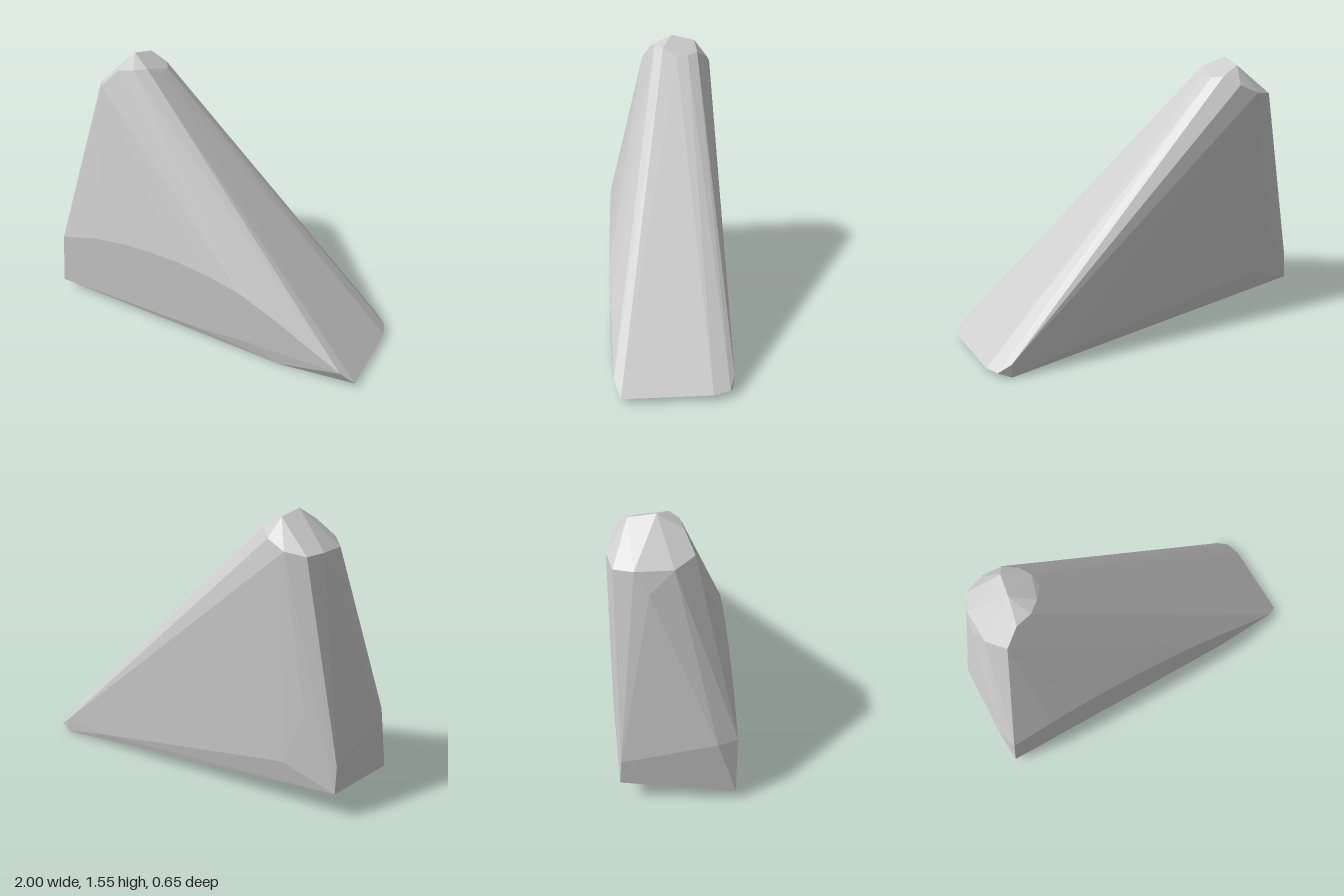
import * as THREE from 'three';
import { ConvexGeometry } from 'three/addons/geometries/ConvexGeometry.js';

const points = (list) => list.map((p) => new THREE.Vector3(...p));

export function createModel() {
  const group = new THREE.Group();
  group.name = 'wedgeRock';
  const stone = new THREE.MeshStandardMaterial({ color: 0xcccccc });
  stone.name = 'pale stone grey';
  stone.flatShading = true;

  // Rounded cap: apex and the faceted ring around it
  const cap = points([
    [-0.62, 1.55, -0.08], [-0.65, 1.48, 0.05], [-0.74, 1.39, 0.1], [-0.82, 1.36, 0.0],
    [-0.83, 1.36, -0.19], [-0.79, 1.35, -0.29], [-0.68, 1.37, -0.324], [-0.6, 1.52, -0.22],
    [-0.56, 1.49, 0.03], [-0.5, 1.495, -0.02], [-0.45, 1.45, -0.1], [-0.46, 1.455, -0.17],
    [-0.5, 1.465, -0.23], [-0.57, 1.42, -0.3], [-0.86, 1.25, -0.12],
  ]);

  // Curved upper edge of the upright front panel
  const frontArc = points([
    [-0.96, 0.4, 0.325], [-0.7, 0.47, 0.325], [-0.5, 0.497, 0.325], [-0.3, 0.505, 0.325],
    [-0.1, 0.497, 0.325], [0.1, 0.47, 0.325], [0.3, 0.42, 0.325], [0.5, 0.325, 0.32],
    [0.92, 0.09, 0.305],
  ]);

  // Lower edge of the front panel, and the underside
  const base = points([
    [-1, 0.055, 0.325], [0, 0.06, 0.325], [0.35, 0.09, 0.325],
    [0.55, 0, 0.31], [0.9, 0, -0.313],
  ]);

  // Thin toe at the end of the long slope
  const toe = points([
    [1, 0.025, 0.27], [1, 0.03, -0.2], [0.97, 0.035, -0.29], [0.9, 0.08, -0.318],
  ]);

  // Short end and the bevelled back panel
  const back = points([
    [-1, 0.4, 0.22], [-1, 0.29, -0.28], [-1, 0.14, -0.29],
    [-0.82, 0.55, -0.316], [-0.7, 0.25, -0.319], [0.6, 0.06, -0.319],
  ]);

  const rock = new THREE.Mesh(
    new ConvexGeometry([...cap, ...frontArc, ...base, ...toe, ...back]), stone);
  rock.name = 'rock';
  group.add(rock);
  return group;
}
